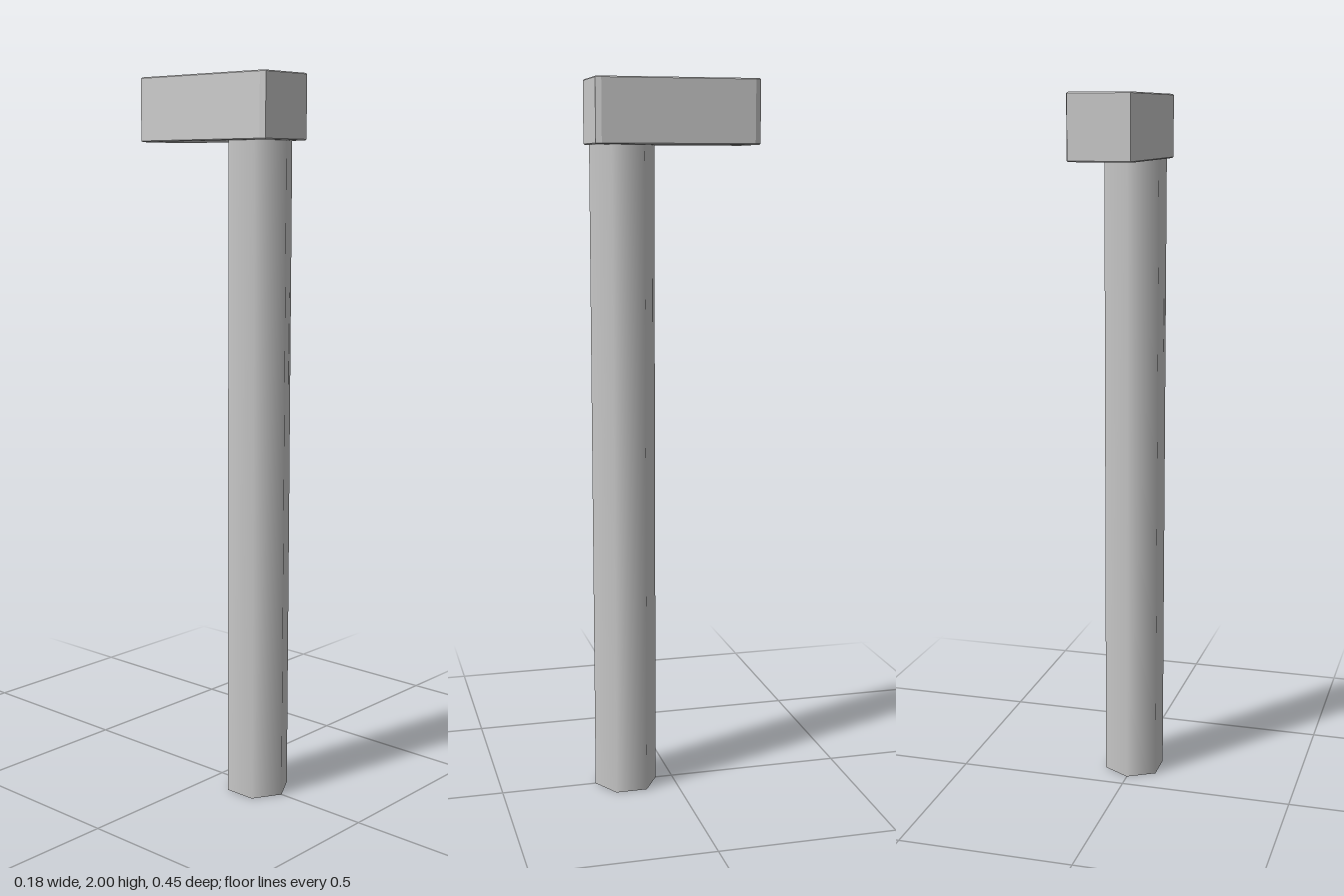
import * as THREE from 'three';

export function createModel() {
  const model = new THREE.Group();
  const material = new THREE.MeshStandardMaterial({ color: 0xcccccc, side: THREE.DoubleSide });

  // Hexagonal hollow post, open at the foot, one corner facing forward
  const postHeight = 1.825;
  const post = new THREE.Mesh(new THREE.CylinderGeometry(0.09, 0.09, postHeight, 6, 1, true), material);
  post.name = 'post';
  post.position.set(0, postHeight / 2, 0.138);
  model.add(post);

  // Head block with small corner cuts, reaching backward from the post
  const bevel = 0.003;
  const x = 0.09 - bevel, z = 0.227 - bevel, cutX = 0.005, cutZ = 0.013;
  const outline = new THREE.Shape([
    [x, -z + cutZ], [x, z - cutZ], [x - cutX, z], [-x + cutX, z],
    [-x, z - cutZ], [-x, -z + cutZ], [-x + cutX, -z], [x - cutX, -z],
  ].map(([px, py]) => new THREE.Vector2(px, py)));
  const headGeometry = new THREE.ExtrudeGeometry(outline, {
    depth: 2 - postHeight - 2 * bevel,
    bevelSize: bevel,
    bevelThickness: bevel,
    bevelSegments: 1,
  });
  headGeometry.rotateX(-Math.PI / 2);
  const head = new THREE.Mesh(headGeometry, material);
  head.name = 'head';
  head.position.y = postHeight + bevel;
  model.add(head);

  return model;
}
